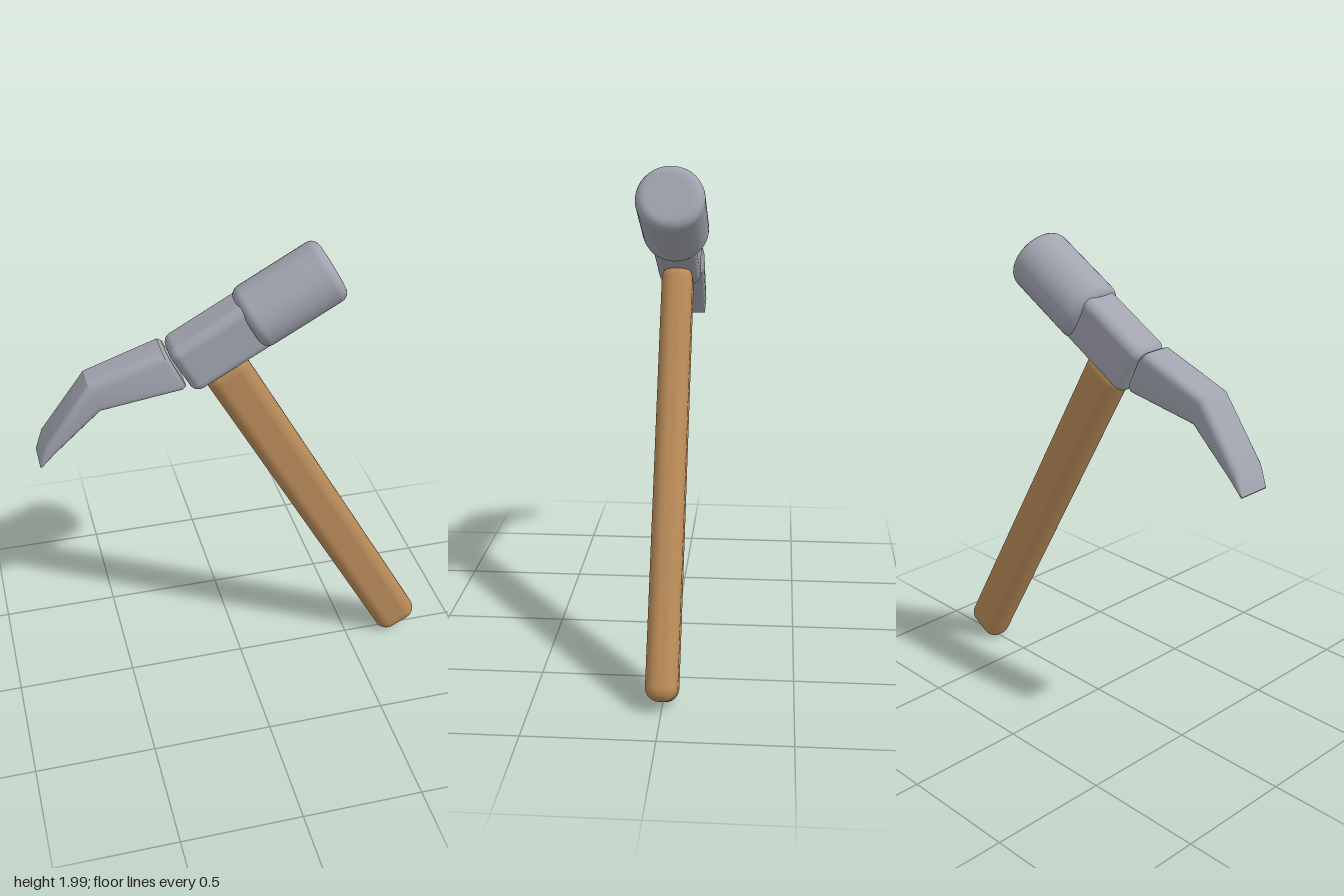
import * as THREE from 'three';
import { toCreasedNormals } from 'three/addons/utils/BufferGeometryUtils.js';
import { RoundedBoxGeometry } from 'three/addons/geometries/RoundedBoxGeometry.js';

const TILT = THREE.MathUtils.degToRad(29);

// Cylinder with filleted rims, turned around the y axis
function filletedCylinder(radius, length, fillet) {
  const h = length / 2;
  const points = [new THREE.Vector2(0, -h), new THREE.Vector2(radius - fillet - 0.01, -h)];
  for (const side of [-1, 1]) {
    for (let i = 0; i <= 6; i++) {
      const a = (side < 0 ? i - 6 : i) * Math.PI / 12;
      points.push(new THREE.Vector2(
        radius - fillet + fillet * Math.cos(a),
        side * (h - fillet) + fillet * Math.sin(a)));
    }
  }
  points.push(new THREE.Vector2(radius - fillet - 0.01, h), new THREE.Vector2(0, h));
  return new THREE.LatheGeometry(points, 48);
}

// Rounded-rectangle sections lofted between upper and lower edges
// Each station: [topX, topY, bottomX, bottomY, halfWidth]
function loftClaw(stations, maxRadius) {
  const positions = [];
  const loops = stations.map(([tx, ty, bx, by, w]) => {
    const half = Math.hypot(tx - bx, ty - by) / 2;
    const r = Math.min(maxRadius, half * 0.9);
    const loop = [];
    for (let q = 0; q < 4; q++) {
      const sz = q === 0 || q === 3 ? 1 : -1;
      const sa = q < 2 ? 1 : -1;
      for (let k = 0; k <= 4; k++) {
        const t = (q + k / 4) * Math.PI / 2;
        const z = sz * (w - r) + r * Math.cos(t);
        const f = (sa * (half - r) + r * Math.sin(t)) / half;
        loop.push(new THREE.Vector3(
          (tx + bx) / 2 + f * (tx - bx) / 2,
          (ty + by) / 2 + f * (ty - by) / 2, z));
      }
    }
    return loop;
  });
  const tri = (...corners) => corners.forEach((p) => positions.push(p.x, p.y, p.z));
  const n = loops[0].length;
  const centre = (s) => new THREE.Vector3((s[0] + s[2]) / 2, (s[1] + s[3]) / 2, 0);
  const start = centre(stations[0]);
  const end = centre(stations[stations.length - 1]);
  for (let j = 0; j < n; j++) {
    const k = (j + 1) % n;
    for (let i = 0; i < loops.length - 1; i++) {
      const p = loops[i], q = loops[i + 1];
      tri(p[j], p[k], q[k]);
      tri(p[j], q[k], q[j]);
    }
    tri(start, loops[0][k], loops[0][j]);
    tri(end, loops[loops.length - 1][j], loops[loops.length - 1][k]);
  }
  const geometry = new THREE.BufferGeometry();
  geometry.setAttribute('position', new THREE.Float32BufferAttribute(positions, 3));
  return toCreasedNormals(geometry, 0.52);
}

export function createModel() {
  const steel = new THREE.MeshStandardMaterial({ name: 'steel', color: 0xa1a4af });
  const wood = new THREE.MeshStandardMaterial({ name: 'wood', color: 0xb88a58 });
  const model = new THREE.Group();
  model.name = 'hammer';

  const add = (parent, name, geometry, material, x = 0, y = 0) => {
    const mesh = new THREE.Mesh(geometry, material);
    mesh.name = name;
    mesh.position.set(x, y, 0);
    parent.add(mesh);
    return mesh;
  };

  // Handle, neck and striking head share one leaning frame
  const leaning = new THREE.Group();
  leaning.name = 'handleAndHead';
  leaning.rotation.z = TILT;
  model.add(leaning);

  add(leaning, 'handle', new RoundedBoxGeometry(0.187, 1.725, 0.125, 5, 0.054), wood, 0.678, 0.5275);
  add(leaning, 'neckBlock', new RoundedBoxGeometry(0.37, 0.221, 0.171, 5, 0.04), steel, 0.718, 1.476);
  const head = add(leaning, 'strikingHead', filletedCylinder(0.132, 0.386, 0.04), steel, 1.043, 1.483);
  head.rotation.z = -Math.PI / 2;

  // Bent claw tapering to a thin edge
  add(model, 'claw', loftClaw([
    [-0.297, 1.628, -0.232, 1.497, 0.055],
    [-0.304, 1.645, -0.228, 1.482, 0.07],
    [-0.320, 1.650, -0.245, 1.474, 0.078],
    [-0.611, 1.550, -0.569, 1.429, 0.078],
    [-0.791, 1.307, -0.755, 1.266, 0.078],
    [-0.819, 1.218, -0.814, 1.212, 0.07],
  ], 0.032), steel);

  return model;
}
